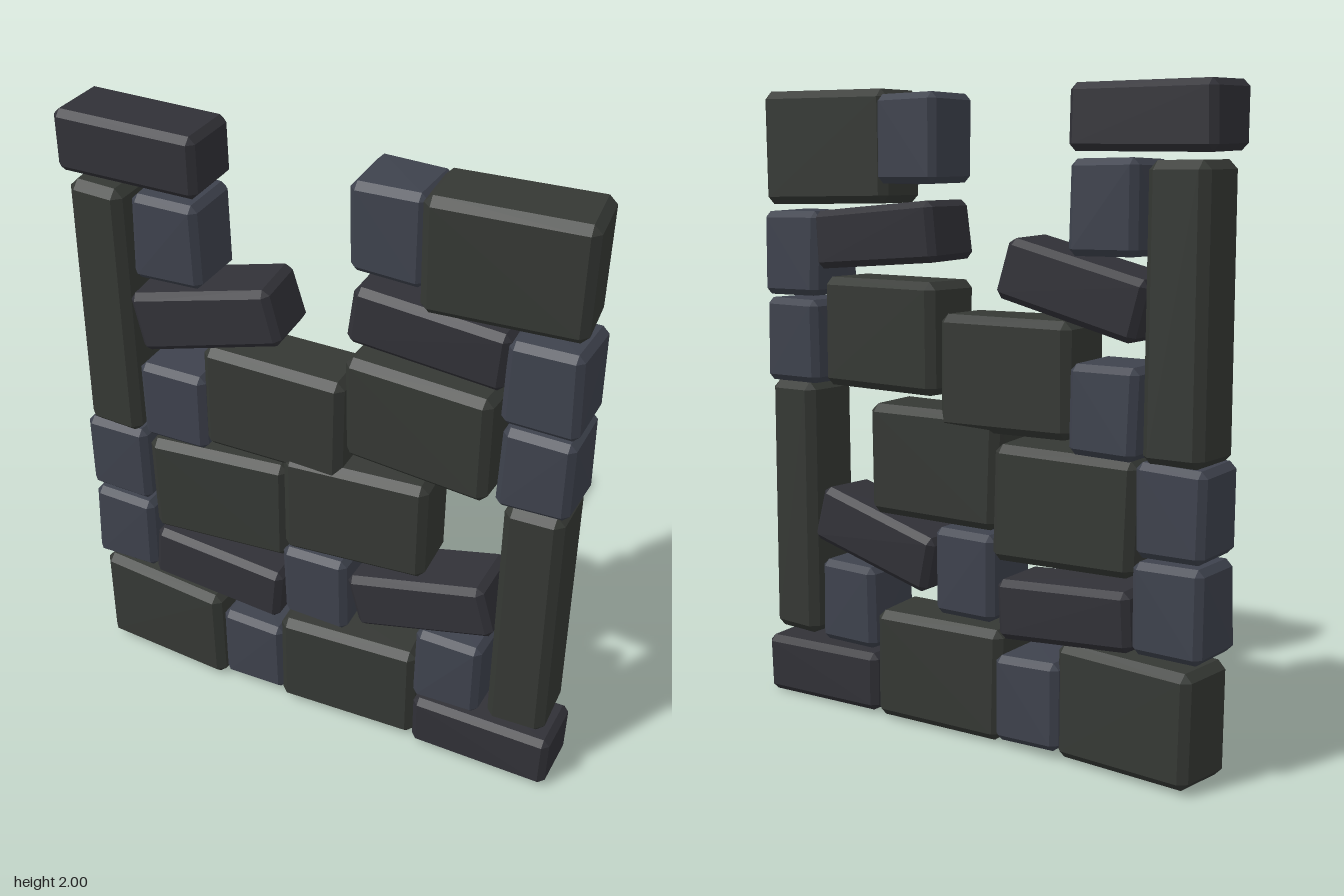
import * as THREE from 'three';
import { ConvexGeometry } from 'three/addons/geometries/ConvexGeometry.js';

// small seeded generator for hand-cut irregularity
let seed = 7;
const rnd = () => {
  seed = (seed * 16807) % 2147483647;
  return (seed / 2147483647) * 2 - 1;
};

const DEPTH = 0.225;
const material = (color) =>
  new THREE.MeshStandardMaterial({ color, flatShading: true });

// box with chamfered edges and slightly uneven corners
function stoneGeometry(w, h, d, chamfer, jitter) {
  const points = [];
  for (const sx of [-1, 1]) for (const sy of [-1, 1]) for (const sz of [-1, 1]) {
    const x = sx * (w / 2 - Math.abs(rnd()) * jitter);
    const y = sy * (h / 2 - Math.abs(rnd()) * jitter);
    const z = sz * (d / 2 - Math.abs(rnd()) * jitter);
    const cx = sx * chamfer, cy = sy * chamfer, cz = sz * chamfer;
    points.push(
      new THREE.Vector3(x, y - cy, z - cz),
      new THREE.Vector3(x - cx, y, z - cz),
      new THREE.Vector3(x - cx, y - cy, z)
    );
  }
  return new ConvexGeometry(points);
}

export function createModel() {
  seed = 7;
  const wall = new THREE.Group();
  wall.name = 'ruinedStoneWall';

  const kinds = {
    largeStone: { mat: material(0x353834), chamfer: 0.024 },
    pillarStone: { mat: material(0x353834), chamfer: 0.026 },
    cubeStone: { mat: material(0x3e424d), chamfer: 0.02 },
    slabStone: { mat: material(0x313137), chamfer: 0.02 },
  };

  // centre x, centre y, width, height, tilt about z, turn about y
  const layout = {
    largeStone: [
      [-0.562, 0.187, 0.475, 0.357, 0, -0.08],
      [0.115, 0.187, 0.475, 0.357, 0, 0.05],
      [-0.34, 0.77, 0.475, 0.357, 0.015, 0.08],
      [0.132, 0.852, 0.475, 0.357, 0.015, 0.06],
      [-0.138, 1.15, 0.475, 0.357, 0, 0],
      [0.335, 1.24, 0.475, 0.357, 0, -0.08],
      [0.558, 1.817, 0.475, 0.357, -0.01, 0.09],
    ],
    pillarStone: [
      [-0.706, 1.358, 0.195, 0.85, 0, 0],
      [0.703, 0.648, 0.195, 0.85, 0, 0],
    ],
    cubeStone: [
      [-0.223, 0.162, 0.232, 0.28, 0, 0],
      [0.47, 0.355, 0.23, 0.28, 0, 0],
      [-0.7, 0.525, 0.232, 0.28, 0, 0],
      [0.006, 0.525, 0.228, 0.28, 0, 0],
      [-0.703, 0.808, 0.232, 0.28, 0, 0],
      [-0.48, 1.077, 0.232, 0.275, 0, 0],
      [0.698, 1.2, 0.228, 0.28, 0, 0],
      [0.695, 1.482, 0.23, 0.28, 0, 0],
      [-0.473, 1.65, 0.232, 0.28, 0, 0],
      [0.225, 1.842, 0.232, 0.28, 0, 0],
    ],
    slabStone: [
      [0.59, 0.104, 0.475, 0.198, -0.015, 0],
      [-0.35, 0.455, 0.47, 0.19, -0.075, 0],
      [0.365, 0.585, 0.475, 0.19, 0.26, 0],
      [-0.363, 1.418, 0.48, 0.195, 0.25, 0.06],
      [0.353, 1.55, 0.48, 0.19, -0.08, 0],
      [-0.593, 1.9, 0.475, 0.198, 0, 0],
    ],
  };

  for (const [kind, rows] of Object.entries(layout)) {
    const { mat, chamfer } = kinds[kind];
    rows.forEach(([x, y, w, h, tilt, turn], i) => {
      const stone = new THREE.Mesh(stoneGeometry(w, h, DEPTH, chamfer, 0.008), mat);
      stone.name = `${kind}${i + 1}`;
      stone.position.set(x, y, 0);
      stone.rotation.set(0, turn, tilt);
      wall.add(stone);
    });
  }
  return wall;
}
